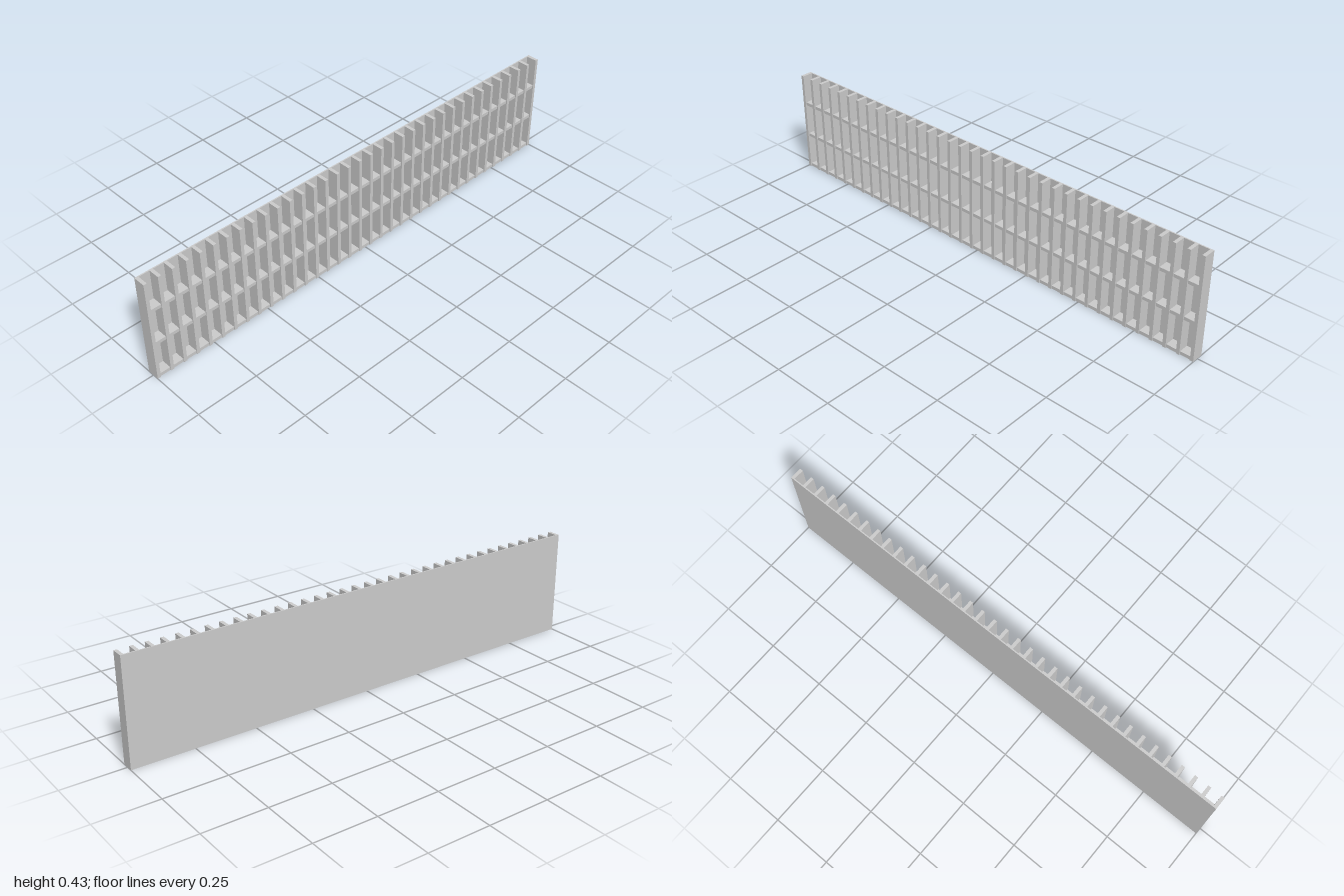
import * as THREE from 'three';

export function createModel() {
  const model = new THREE.Group();
  model.name = 'pigeonholeRack';
  const material = new THREE.MeshStandardMaterial({ color: 0xcccccc, flatShading: true });

  const width = 2, height = 0.43, depth = 0.05;
  const board = 0.0135, panel = 0.005, cells = 35;
  const back = -depth / 2;

  // Box given by its minimum corner and size
  function addBox(name, x, y, z, w, h, d) {
    const mesh = new THREE.Mesh(new THREE.BoxGeometry(w, h, d), material);
    mesh.position.set(x + w / 2, y + h / 2, z + d / 2);
    mesh.name = name;
    model.add(mesh);
  }

  // Thin back panel
  addBox('backPanel', -width / 2, 0, back, width, height, panel);

  // Upright dividers, including both ends
  const pitch = (width - board) / cells;
  for (let i = 0; i <= cells; i++) {
    addBox('divider' + i, -width / 2 + i * pitch, 0, back + panel, board, height, depth - panel);
  }

  // Shelves sit slightly behind the divider fronts; the top row is open
  const shelfDepth = depth - panel - 0.004;
  for (let row = 0; row < 3; row++) {
    for (let i = 0; i < cells; i++) {
      addBox('shelf' + row + '_' + i, -width / 2 + i * pitch + board, row * 0.1475, back + panel,
        pitch - board, board, shelfDepth);
    }
  }
  return model;
}
